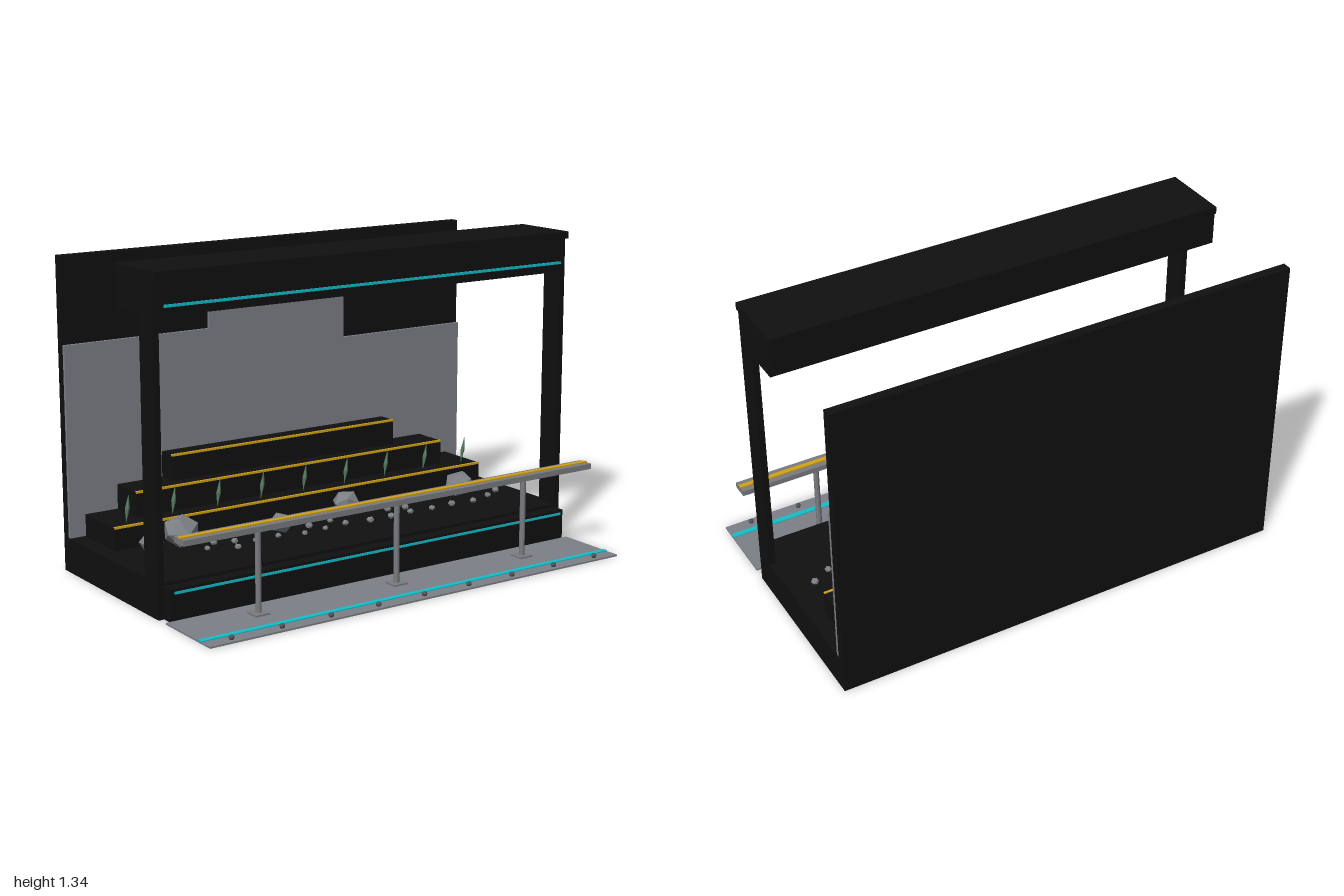
import * as THREE from 'three';

const mat = (name, color, flat = false) => {
  const m = new THREE.MeshStandardMaterial({ color, flatShading: flat });
  m.name = name;
  return m;
};

export function createModel() {
  const group = new THREE.Group();
  const black = mat('black', 0x101010);
  const grey = mat('panelGrey', 0x7e8088);
  const metal = mat('railMetal', 0x7a7c80);
  const yellow = mat('yellowTrim', 0xd4a314);
  const cyan = mat('cyanLight', 0x12c0cc);
  const stone = mat('stone', 0x7c8085, true);
  const green = mat('leafGreen', 0x5f8a6c, true);
  const dark = mat('studGrey', 0x505256);

  const add = (name, geometry, material, x, y, z) => {
    const mesh = new THREE.Mesh(geometry, material);
    mesh.name = name;
    mesh.position.set(x, y, z);
    group.add(mesh);
    return mesh;
  };
  // Box given by its limits on each axis
  const box = (name, material, x0, x1, y0, y1, z0, z1) =>
    add(name, new THREE.BoxGeometry(x1 - x0, y1 - y0, z1 - z0), material,
      (x0 + x1) / 2, (y0 + y1) / 2, (z0 + z1) / 2);

  // Base, front fascia and back wall
  box('base', black, -1, 1, 0, 0.145, -0.58, 0.2);
  box('fascia', black, -0.975, 0.975, 0, 0.133, 0.2, 0.255);
  box('fasciaLight', cyan, -0.96, 0.96, 0.112, 0.122, 0.255, 0.259);
  box('backWall', black, -1, 1, 0.145, 1.31, -0.58, -0.54);

  // Backdrop panels of different heights
  [[-1, -0.325, 0.95], [-0.325, 0.36, 1.09], [0.36, 1, 0.84]].forEach(([x0, x1, top]) =>
    box('backdropPanel', grey, x0, x1, 0.147, top, -0.54, -0.525));

  // Portal frame: side posts, header, cap and light strip
  for (const s of [-1, 1]) {
    const x = s * 0.9865;
    box('framePost', black, x - 0.0135, x + 0.0135, 0.133, 1.2, 0.1, 0.2);
  }
  box('header', black, -1, 1, 1.168, 1.31, -0.07, 0.2);
  box('headerCap', black, -1, 1, 1.31, 1.34, -0.08, 0.22);
  box('headerLight', cyan, -0.96, 0.96, 1.205, 1.216, 0.218, 0.223);

  // Stepped display tiers with yellow edges
  [[0.93, 0.24, -0.272], [0.78, 0.345, -0.362], [0.567, 0.455, -0.435]].forEach(([w, top, z]) => {
    box('tier', black, -w, w, 0.145, top, -0.522, z);
    box('tierTrim', yellow, -w, w, top - 0.006, top + 0.003, z - 0.008, z + 0.002);
  });

  // Floor apron with light strip and studs
  box('apron', grey, -1, 1, 0, 0.007, 0.255, 0.58);
  box('apronLight', cyan, -1, 1, 0.007, 0.011, 0.495, 0.519);
  const studGeo = new THREE.SphereGeometry(0.011, 12, 8);
  for (let i = 0; i < 9; i++) add('stud', studGeo, dark, (i - 4) * 0.223, 0.015, 0.554);

  // Guard rail
  box('rail', metal, -1, 1, 0.343, 0.366, 0.33, 0.402);
  box('railStripe', yellow, -1, 1, 0.366, 0.371, 0.355, 0.376);
  for (const x of [-0.655, 0, 0.655]) {
    add('railPost', new THREE.CylinderGeometry(0.012, 0.012, 0.336, 16), metal, x, 0.175, 0.366);
    box('railFoot', metal, x - 0.033, x + 0.033, 0.007, 0.014, 0.333, 0.399);
  }

  // Boulders: x, z, radius
  const rock = new THREE.IcosahedronGeometry(1, 0);
  [[-0.81, -0.19, 0.05], [-0.67, -0.19, 0.08], [-0.235, -0.122, 0.052],
    [0.155, -0.21, 0.062], [0.73, -0.16, 0.068]].forEach(([x, z, r], i) => {
    const m = add('boulder', rock, stone, x, 0.145 + r * 0.76, z);
    m.scale.set(r, r * 0.86, r);
    m.rotation.y = i * 0.9;
  });

  // Pebbles scattered over the floor
  let seed = 7;
  const rnd = () => (seed = (seed * 16807) % 2147483647) / 2147483647;
  const pebbles = [[-0.53, -0.17], [-0.56, -0.12], [-0.48, -0.09], [-0.385, -0.22], [-0.255, -0.22],
    [-0.16, -0.21], [-0.11, -0.19], [-0.11, -0.1], [0.01, -0.12], [0.31, -0.12], [0.32, -0.22],
    [0.385, -0.145], [0.39, -0.1], [0.5, -0.235], [0.66, -0.2], [0.88, -0.22], [0.865, -0.19], [0.89, -0.1]];
  for (let i = 0; i < 14; i++) pebbles.push([-0.62 + i * 0.11, -0.07 + rnd() * 0.06]);
  pebbles.forEach(([x, z]) => {
    const r = 0.011 + rnd() * 0.007;
    const m = add('pebble', rock, stone, x, 0.145 + r * 0.7, z);
    m.scale.set(r, r * 0.85, r);
    m.rotation.y = rnd() * 6;
  });

  // Leaning leaf blades along the first tier
  const leaf = new THREE.OctahedronGeometry(1, 0);
  for (let i = 0; i < 9; i++) {
    const m = add('leafBlade', leaf, green, (i - 4) * 0.214, 0.305, -0.297);
    m.scale.set(0.012, 0.066, 0.008);
    m.rotation.x = 0.2;
  }
  return group;
}
